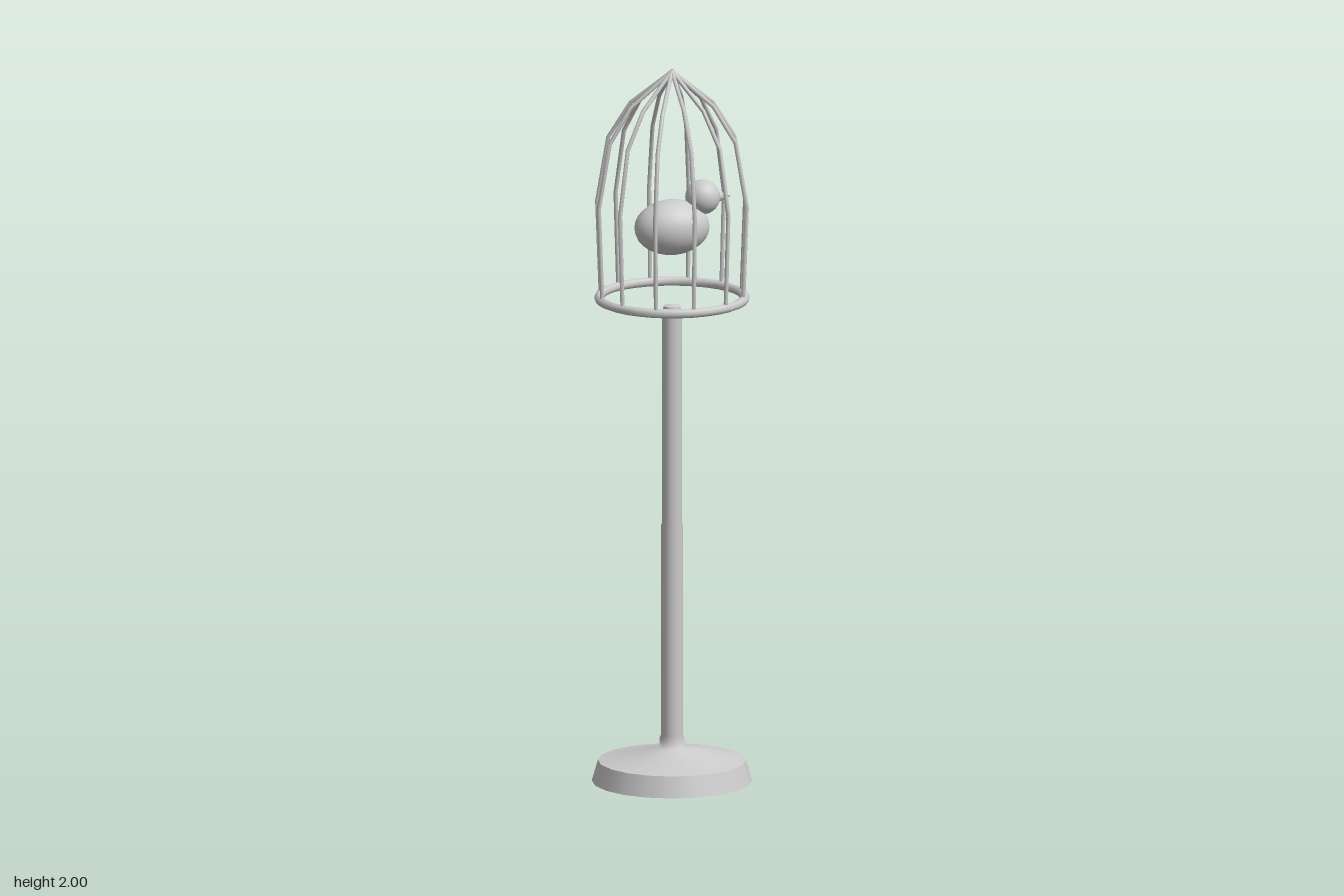
import * as THREE from 'three';

const grey = new THREE.MeshStandardMaterial({ color: 0xcccccc });
const greyDouble = new THREE.MeshStandardMaterial({ color: 0xcccccc, side: THREE.DoubleSide });

function part(name, geometry, parent, position = [0, 0, 0], material = grey) {
  const mesh = new THREE.Mesh(geometry, material);
  mesh.name = name;
  mesh.position.set(...position);
  parent.add(mesh);
  return mesh;
}

// Weighted base and slim pole; a repeated point keeps that edge sharp
function buildStand() {
  const profile = [
    [0, 0], [0.22, 0], [0.22, 0], [0.203, 0.058], [0.203, 0.058],
    [0.035, 0.093], [0.034, 0.12], [0.03, 0.13], [0.03, 0.72], [0.027, 0.72],
    [0.027, 1.31], [0.023, 1.335], [0.023, 1.335], [0, 1.34],
  ].map(([r, y]) => new THREE.Vector2(r, y));
  return new THREE.LatheGeometry(profile, 20);
}

// Ring at the bottom and twelve bars bending in to the peak
function buildCage() {
  const cage = new THREE.Group();
  cage.name = 'cage';
  const ring = part('cageRing', new THREE.TorusGeometry(0.2, 0.013, 8, 32), cage, [0, 1.358, 0]);
  ring.rotation.x = Math.PI / 2;

  const path = new THREE.CatmullRomCurve3(
    [[0.2, 1.358], [0.21, 1.62], [0.179, 1.8], [0.117, 1.9], [0, 1.994]]
      .map(([r, y]) => new THREE.Vector3(r, y, 0)));
  path.getUtoTmapping = (u) => u; // cross-sections sit on the bend points
  const barGeometry = new THREE.TubeGeometry(path, 4, 0.006, 6);
  for (let i = 0; i < 12; i++) {
    part('cageBar', barGeometry, cage, [0, 0, 0], greyDouble).rotation.y = (i * Math.PI) / 6;
  }
  return cage;
}

// Bird facing +x
function buildBird() {
  const bird = new THREE.Group();
  bird.name = 'bird';
  const ball = new THREE.SphereGeometry(1, 20, 14);
  part('birdBody', ball, bird, [0, 1.556, 0]).scale.set(0.106, 0.077, 0.075);
  part('birdHead', ball, bird, [0.088, 1.635, 0]).scale.setScalar(0.048);
  part('birdEye', ball, bird, [0.11, 1.622, -0.035]).scale.setScalar(0.022);
  const beak = part('birdBeak', new THREE.ConeGeometry(0.019, 0.046, 10), bird, [0.147, 1.633, 0]);
  beak.rotation.z = -Math.PI / 2;
  return bird;
}

export function createModel() {
  const model = new THREE.Group();
  model.name = 'birdcageOnStand';
  part('stand', buildStand(), model);
  model.add(buildCage(), buildBird());
  return model;
}
